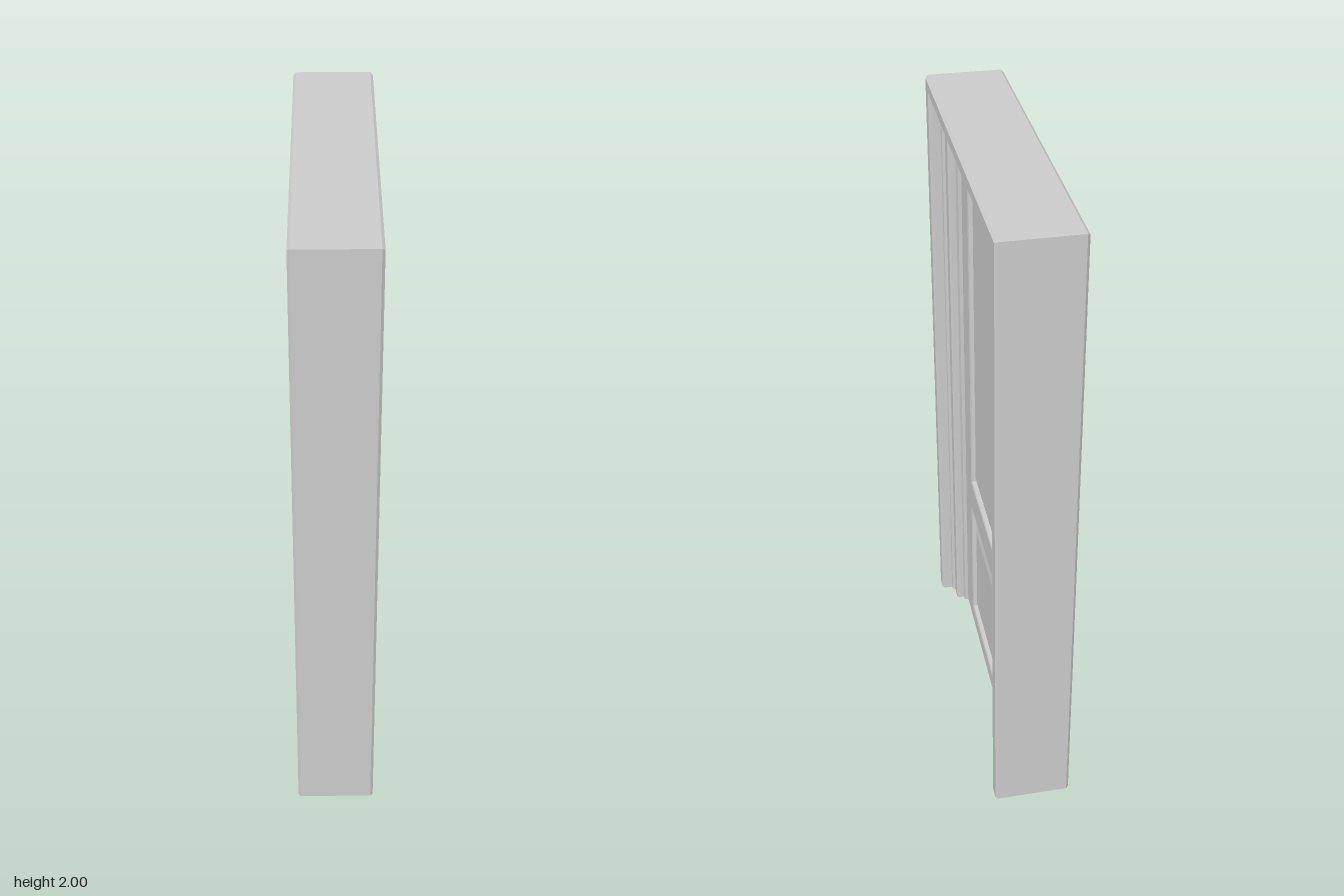
import * as THREE from 'three';

const HALF_W = 0.55, HEIGHT = 2;
const grey = new THREE.MeshStandardMaterial({ color: 0xcccccc });
const greyBoth = new THREE.MeshStandardMaterial({ color: 0xcccccc, side: THREE.DoubleSide });

function part(name, geometry, material = grey) {
  const mesh = new THREE.Mesh(geometry, material);
  mesh.name = name;
  return mesh;
}

// Faceted skin through rings of points; each face looks along (ring step) x (path step)
function skin(rings, wrapRings, wrapPath) {
  const pos = [], n = rings.length, m = rings[0].length;
  for (let j = 0; j < (wrapRings ? n : n - 1); j++) {
    for (let k = 0; k < (wrapPath ? m : m - 1); k++) {
      const a = rings[j][k], b = rings[(j + 1) % n][k];
      const c = rings[(j + 1) % n][(k + 1) % m], d = rings[j][(k + 1) % m];
      pos.push(...a, ...b, ...c, ...a, ...c, ...d);
    }
  }
  const g = new THREE.BufferGeometry();
  g.setAttribute('position', new THREE.Float32BufferAttribute(pos, 3));
  g.computeVertexNormals();
  return g;
}

// Stepped frame: one moulding profile (inset, x) swept up, over and down
function makeFrame() {
  const group = new THREE.Group();
  group.name = 'frame';
  const half = [
    [0, 0.112], [0.008, 0.12], [0.049, 0.12], [0.057, 0.112], [0.057, 0.085],
    [0.066, 0.083], [0.074, 0.075], [0.114, 0.075], [0.121, 0.068], [0.121, 0.052],
    [0.137, 0.048],
  ];
  const profile = [...half, ...half.slice().reverse().map(([i, x]) => [i, -x])];
  const rings = profile.map(([i, x]) => {
    const z = HALF_W - i, top = HEIGHT - 0.76 * i;
    return [[x, 0, z], [x, top, z], [x, top, -z], [x, 0, -z]];
  });
  group.add(part('frameMoulding', skin(rings, true, false)));

  // Flat feet of the two jambs
  const shape = new THREE.Shape(profile.map(([i, x]) => new THREE.Vector2(x, i)));
  for (const s of [1, -1]) {
    const foot = new THREE.ShapeGeometry(shape);
    foot.rotateX(-s * Math.PI / 2).translate(0, 0, s * HALF_W);
    group.add(part('jambFoot', foot, greyBoth));
  }
  return group;
}

// Door leaf with two openings, each filled by a raised panel on both faces
function makeLeaf() {
  const group = new THREE.Group();
  group.name = 'doorLeaf';
  const FACE = 0.037, halfW = 0.416, top = 1.9, bottom = 0.003;
  const panelZ = -0.013, panelHalf = 0.325;
  const panels = [{ name: 'lowerPanel', y0: 0.055, y1: 0.52 }, { name: 'upperPanel', y0: 0.625, y1: 1.82 }];

  const rect = (C, a0, b0, a1, b1) => new C([[a0, b0], [a1, b0], [a1, b1], [a0, b1]]
    .map(([a, b]) => new THREE.Vector2(a, b)));
  const shape = rect(THREE.Shape, -halfW, bottom, halfW, top);
  // Shape runs along -z after the turn below, so z is negated
  for (const p of panels) {
    shape.holes.push(rect(THREE.Path, -panelZ - panelHalf, p.y0, -panelZ + panelHalf, p.y1));
  }
  const slab = new THREE.ExtrudeGeometry(shape, { depth: 2 * FACE, bevelEnabled: false });
  slab.translate(0, 0, -FACE).rotateY(Math.PI / 2);
  group.add(part('stilesAndRails', slab));

  // Panel steps (inset, x): edge bead, groove, sloping border, flat field
  const steps = [[0, FACE], [0.006, FACE - 0.003], [0.012, FACE - 0.016], [0.068, FACE - 0.004]];
  for (const p of panels) {
    for (const s of [1, -1]) {
      const rings = steps.map(([i, x]) => {
        const zA = panelZ + s * (panelHalf - i), zB = panelZ - s * (panelHalf - i);
        const y0 = p.y0 + i, y1 = p.y1 - i;
        return [[s * x, y0, zA], [s * x, y1, zA], [s * x, y1, zB], [s * x, y0, zB]];
      });
      const yMid = (p.y0 + p.y1) / 2, x = s * steps[steps.length - 1][1];
      rings.push(Array.from({ length: 4 }, () => [x, yMid, panelZ]));
      group.add(part(p.name, skin(rings, false, true)));
    }
  }
  return group;
}

// Turned knob: rose, neck and round grip
function makeKnob() {
  const points = [[0.024, 0], [0.024, 0.005], [0.019, 0.009], [0.01, 0.011], [0.009, 0.02]];
  for (let i = 0; i <= 10; i++) {
    const a = THREE.MathUtils.lerp(-1.2, Math.PI / 2, i / 10);
    points.push([Math.max(0, 0.029 * Math.cos(a)), 0.046 + 0.027 * Math.sin(a)]);
  }
  const geo = new THREE.LatheGeometry(points.map(([r, h]) => new THREE.Vector2(r, h)), 28);
  const knob = part('knob', geo.rotateZ(Math.PI / 2));
  knob.position.set(-0.037, 0.92, 0.36);
  return knob;
}

export function createModel() {
  const model = new THREE.Group();
  model.name = 'panelDoor';
  model.add(makeFrame(), makeLeaf(), makeKnob());
  return model;
}
